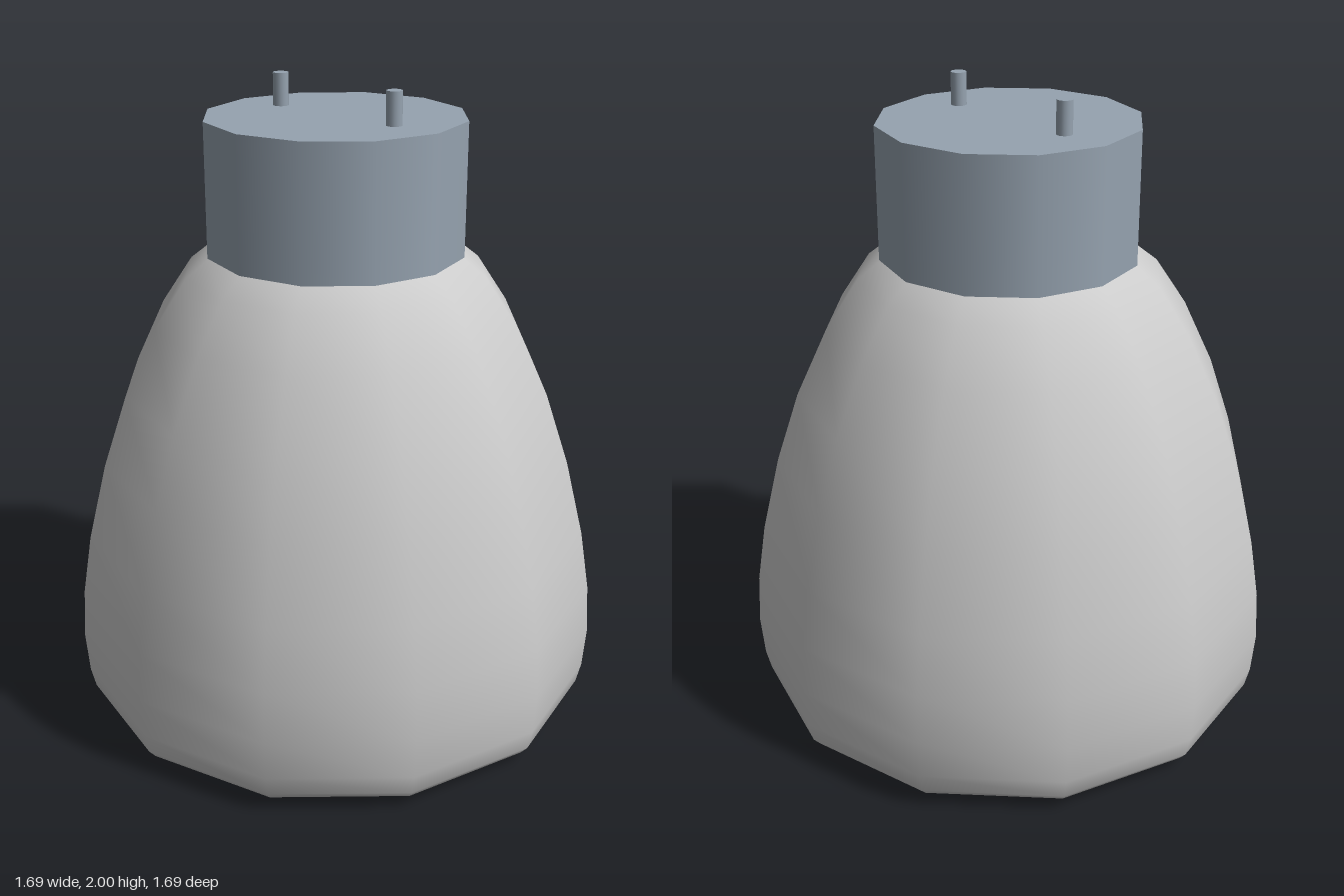
import * as THREE from 'three';

const SIDES = 12;

function addMesh(parent, name, geometry, material, x = 0, y = 0) {
  const mesh = new THREE.Mesh(geometry, material);
  mesh.name = name;
  mesh.position.set(x, y, 0);
  parent.add(mesh);
  return mesh;
}

export function createModel() {
  const model = new THREE.Group();
  model.name = 'reflectorLamp';

  const glass = new THREE.MeshStandardMaterial({ color: 0xcccccc });
  const metal = new THREE.MeshStandardMaterial({ color: 0x96a3b0 });

  // Bulb: smooth bell profile (radius, height) with a nearly flat closed face below
  const profile = [
    [0, 0], [0.4, 0.003], [0.6, 0.01], [0.755, 0.022], [0.797, 0.037], [0.82, 0.065],
    [0.835, 0.13], [0.845, 0.26], [0.836, 0.42], [0.805, 0.61], [0.745, 0.85],
    [0.67, 1.07], [0.57, 1.28], [0.47, 1.43], [0.395, 1.49],
  ].map(([r, y]) => new THREE.Vector2(r, y));
  addMesh(model, 'bulb', new THREE.LatheGeometry(profile, SIDES), glass);

  // Cap: twelve-sided collar on the neck
  addMesh(model, 'cap', new THREE.CylinderGeometry(0.4, 0.4, 0.41, SIDES), metal, 0, 1.695);

  // Contact pins
  for (const side of [1, -1]) {
    addMesh(model, side > 0 ? 'leftPin' : 'rightPin',
      new THREE.CylinderGeometry(0.024, 0.024, 0.11, 16), metal, side * 0.233, 1.945);
  }

  return model;
}
